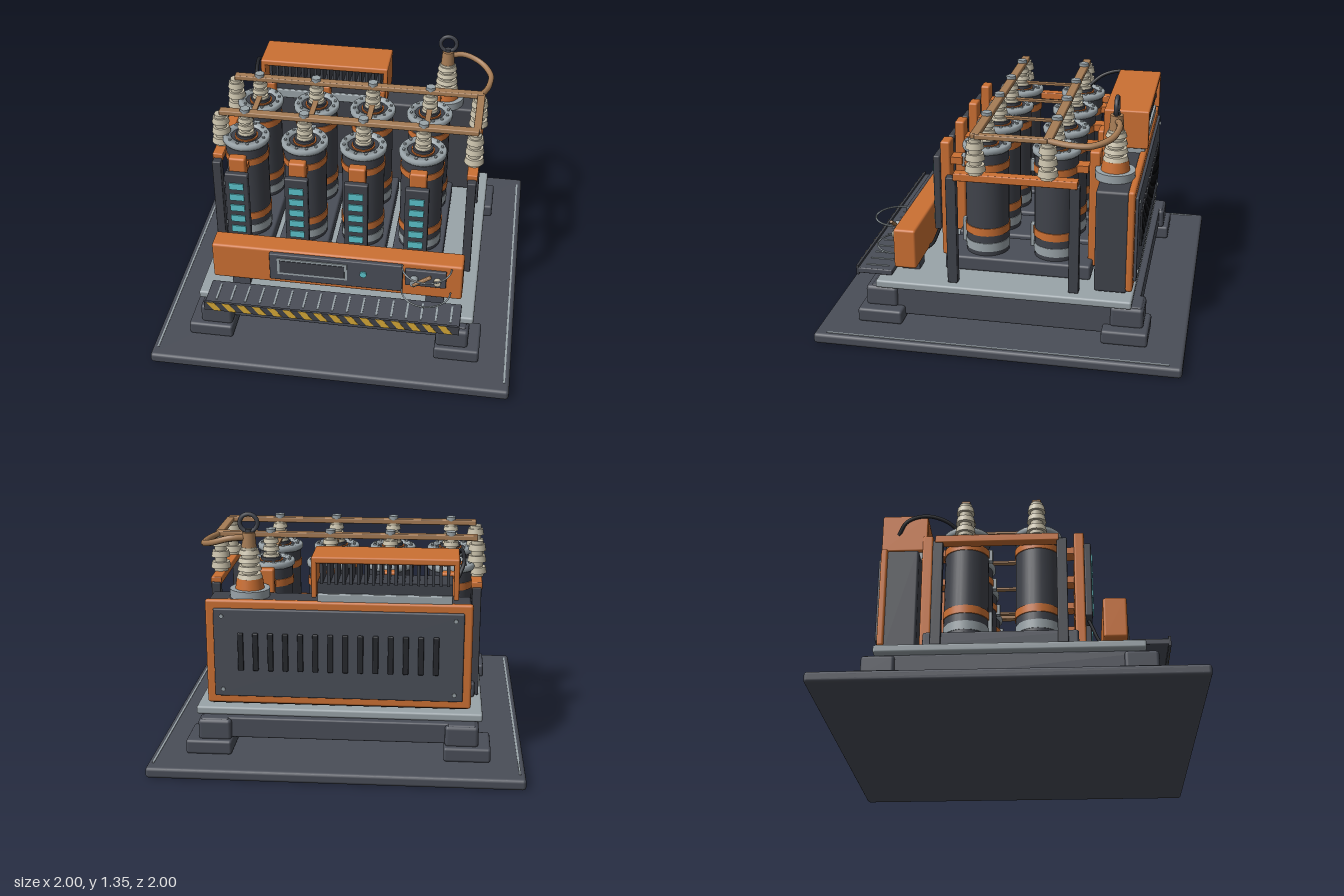
import * as THREE from 'three';
import { RoundedBoxGeometry } from 'three/addons/geometries/RoundedBoxGeometry.js';

const mat = (name, color, opts = {}) => {
  const m = new THREE.MeshStandardMaterial({ color, ...opts });
  m.name = name;
  return m;
};

export function createModel() {
  const root = new THREE.Group();
  root.name = 'capacitorBank';
  const slate = mat('slate', 0x4a4e58);
  const dark = mat('dark graphite', 0x3f424a);
  const black = mat('black rubber', 0x26282d);
  const steel = mat('light steel', 0x9aa4a9);
  const orange = mat('orange paint', 0xcc7033);
  const copper = mat('copper', 0xa67c55);
  const ceramic = mat('ceramic', 0xc8c0aa);
  const cyan = mat('cyan light', 0x5cc4cc);
  const yellow = mat('hazard yellow', 0xd6a836);

  // Helpers: every part is described by its bounds or by a profile
  const add = (name, geo, m, x = 0, y = 0, z = 0, parent = root) => {
    const mesh = new THREE.Mesh(geo, m);
    mesh.name = name;
    mesh.position.set(x, y, z);
    parent.add(mesh);
    return mesh;
  };
  const box = (name, m, x0, x1, y0, y1, z0, z1, r = 0, parent = root) => {
    const s = [x1 - x0, y1 - y0, z1 - z0];
    const geo = r ? new RoundedBoxGeometry(...s, 2, r) : new THREE.BoxGeometry(...s);
    return add(name, geo, m, (x0 + x1) / 2, (y0 + y1) / 2, (z0 + z1) / 2, parent);
  };
  const cyl = (name, m, r, y0, y1, x, z, parent = root, sides = 32, rTop = r) =>
    add(name, new THREE.CylinderGeometry(rTop, r, y1 - y0, sides), m, x, (y0 + y1) / 2, z, parent);
  const knob = (name, m, r, x, y, z0, z1, sides = 20) => {
    const k = add(name, new THREE.CylinderGeometry(r, r, z1 - z0, sides), m, x, y, (z0 + z1) / 2);
    k.rotation.x = Math.PI / 2;
    return k;
  };
  const tube = (name, m, r, pts, n = 32) =>
    add(name, new THREE.TubeGeometry(new THREE.CatmullRomCurve3(pts.map(p => new THREE.Vector3(...p))), n, r, 8), m);
  // Ribbed insulator: core with evenly spaced sheds
  const insulator = (x, z, y0, y1, r, sheds, parent = root) => {
    const g = new THREE.Group();
    g.name = 'insulator';
    parent.add(g);
    cyl('insulatorCore', ceramic, r * 0.6, y0, y1, x, z, g, 24);
    const step = (y1 - y0) / sheds;
    for (let i = 0; i < sheds; i++) {
      const y = y0 + step * i;
      cyl('insulatorShed', ceramic, r * (1 - i * 0.06), y + step * 0.15, y + step * 0.7, x, z, g, 24, r * (0.88 - i * 0.06));
    }
  };

  // Ground plate, edge strips, skid frame, feet and deck
  box('groundPlate', slate, -1, 1, 0, 0.06, -1, 1, 0.018);
  box('frontBeam', slate, -0.73, 0.73, 0.14, 0.255, 0.55, 0.7, 0.01);
  box('rearBeam', slate, -0.73, 0.73, 0.14, 0.255, -0.74, -0.58, 0.01);
  for (const s of [-1, 1]) {
    box('edgeStrip', steel, s * 0.97 - 0.005, s * 0.97 + 0.005, 0.058, 0.063, -0.93, 0.93);
    box('sideRail', slate, s * 0.665 - 0.075, s * 0.665 + 0.075, 0.085, 0.255, -0.76, 0.74, 0.012);
    for (const t of [-1, 1]) {
      box('foot', slate, s * 0.695 - 0.125, s * 0.695 + 0.125, 0.06, 0.14, t * 0.675 - 0.125, t * 0.675 + 0.125, 0.015);
      box('footBlock', slate, s * 0.665 - 0.09, s * 0.665 + 0.09, 0.13, 0.25, t * 0.68 - 0.09, t * 0.68 + 0.09, 0.02);
    }
  }
  box('deck', steel, -0.775, 0.775, 0.255, 0.3, -0.705, 0.705, 0.012);

  // Capacitors, four columns of two
  const columns = [-0.588, -0.252, 0.081, 0.416];
  const rows = [-0.24, 0.147];
  for (const x of columns) {
    box('capacitorPlinth', slate, x - 0.147, x + 0.147, 0.3, 0.385, -0.455, 0.362, 0.014);
    for (const z of rows) {
      const g = new THREE.Group();
      g.name = 'capacitor';
      root.add(g);
      cyl('can', dark, 0.12, 0.38, 1.01, x, z, g);
      cyl('lowerSteelBand', steel, 0.123, 0.41, 0.46, x, z, g);
      cyl('lowerOrangeBand', orange, 0.125, 0.505, 0.55, x, z, g);
      cyl('upperOrangeBand', orange, 0.125, 0.885, 0.925, x, z, g);
      const ring = new THREE.LatheGeometry([[0.088, 0.985], [0.126, 0.985], [0.134, 0.995], [0.134, 1.012], [0.126, 1.022], [0.088, 1.022], [0.088, 0.985]]
        .map(p => new THREE.Vector2(...p)), 32);
      add('rimRing', ring, steel, 0, 0, 0, g).position.set(x, 0, z);
      cyl('terminalCollar', orange, 0.066, 1.005, 1.018, x, z, g);
      cyl('terminalBase', dark, 0.058, 1.01, 1.035, x, z, g);
      insulator(x, z, 1.02, 1.15, 0.05, 3, g);
      cyl('terminalNut', steel, 0.03, 1.17, 1.192, x, z, g, 6);
      // Bolts around the rim and clip on the can
      for (let i = 0; i < 12; i++) {
        const a = i * Math.PI / 6 + 0.26;
        cyl('rimBolt', steel, 0.009, 1.015, 1.03, x + 0.109 * Math.cos(a), z + 0.109 * Math.sin(a), g, 6);
      }
      box('lowerClip', steel, x - 0.018, x + 0.018, 0.42, 0.56, z + 0.115, z + 0.142, 0.005, g);
      box('upperClip', steel, x - 0.018, x + 0.018, 0.87, 0.94, z + 0.115, z + 0.142, 0.005, g);
    }
    box('crossLink', copper, x - 0.016, x + 0.016, 1.04, 1.053, rows[0], rows[1]);

    // Orange clamp columns at both ends, front one with status lights
    box('frontClamp', orange, x - 0.048, x + 0.048, 0.34, 1.02, 0.345, 0.402, 0.012);
    box('rearClamp', orange, x - 0.048, x + 0.048, 0.34, 1.02, -0.485, -0.425, 0.012);
    for (const z of [0.28, -0.42]) box('clampArm', orange, x - 0.04, x + 0.04, 0.89, 0.93, z, z + 0.07);
    box('statusPanel', dark, x - 0.066, x + 0.066, 0.5, 0.94, 0.4, 0.438, 0.008);
    for (let i = 0; i < 5; i++) {
      const y = 0.862 - i * 0.0735;
      box('statusLight', cyan, x - 0.041, x + 0.041, y - 0.021, y + 0.021, 0.436, 0.445);
    }
    tube('statusCable', black, 0.009, [[x, 0.52, 0.41], [x, 0.46, 0.435], [x, 0.38, 0.47], [x, 0.35, 0.5]], 16);
  }

  // Bus bars on side posts and rails
  for (const z of rows) box('busBar', copper, -0.735, 0.72, 1.145, 1.175, z - 0.024, z + 0.024, 0.006);
  box('sideBusBar', copper, 0.686, 0.73, 1.145, 1.172, rows[0], rows[1], 0.006);
  for (const x of [-0.732, 0.702]) {
    for (const z of [-0.385, 0.28]) box('post', dark, x - 0.025, x + 0.025, 0.3, 0.92, z - 0.028, z + 0.028, 0.006);
    box('sideRailBar', orange, x - 0.03, x + 0.03, 0.905, 0.948, -0.4, 0.265, 0.006);
    for (const z of rows) {
      cyl('insulatorFoot', ceramic, 0.04, 0.945, 0.97, x, z);
      insulator(x, z, 0.955, 1.145, 0.056, 3);
    }
  }

  // Rear cabinet with orange frame and louvred panel
  box('cabinet', dark, -0.7, 0.7, 0.31, 0.895, -0.67, -0.492, 0.015);
  box('cabinetFrame', orange, -0.71, 0.71, 0.325, 0.905, -0.7, -0.662, 0.014);
  box('cabinetPanel', slate, -0.665, 0.665, 0.37, 0.86, -0.716, -0.69, 0.008);
  for (let i = 0; i < 14; i++) {
    const x = -0.52 + i * 0.08;
    box('louvre', black, x - 0.015, x + 0.015, 0.52, 0.73, -0.728, -0.71, 0.006);
  }
  for (const x of [-0.62, 0.62]) for (const y of [0.41, 0.82]) knob('panelBolt', steel, 0.012, x, y, -0.723, -0.71, 8);

  // Cooling hood over the cabinet, open front and back with a row of fins
  box('hoodTop', orange, -0.632, 0.14, 1.115, 1.152, -0.71, -0.458, 0.01);
  for (const x of [-0.632, 0.112]) box('hoodEnd', orange, x, x + 0.028, 0.93, 1.15, -0.71, -0.458, 0.008);
  box('hoodTray', steel, -0.6, 0.11, 0.89, 0.945, -0.69, -0.475, 0.006);
  box('finBar', dark, -0.6, 0.11, 0.945, 1.005, -0.67, -0.49);
  for (let i = 0; i < 18; i++) {
    const x = -0.575 + i * 0.039;
    box('coolingFin', dark, x - 0.008, x + 0.008, 1, 1.118, -0.69, -0.478);
  }
  tube('hoodCable', black, 0.011, [[-0.625, 1.03, -0.62], [-0.655, 1.1, -0.57], [-0.65, 1.135, -0.47], [-0.635, 1.11, -0.36], [-0.61, 1.04, -0.27]]);

  // Output bushing with ring and curved copper lead
  const bx = 0.486, bz = -0.568;
  cyl('bushingFlange', steel, 0.108, 0.893, 0.94, bx, bz);
  cyl('bushingCollar', orange, 0.078, 0.94, 0.998, bx, bz, root, 32, 0.07);
  insulator(bx, bz, 0.99, 1.165, 0.07, 4);
  cyl('bushingCap', copper, 0.04, 1.16, 1.245, bx, bz, root, 24, 0.034);
  cyl('ringStem', dark, 0.018, 1.24, 1.262, bx, bz, root, 16);
  add('coronaRing', new THREE.TorusGeometry(0.047, 0.012, 10, 32), dark, bx, 1.295, bz);
  tube('copperLead', copper, 0.017, [[bx, 1.215, bz], [0.58, 1.215, -0.595], [0.68, 1.185, -0.57], [0.745, 1.16, -0.48], [0.745, 1.155, -0.36], [0.707, 1.158, -0.24]], 48);

  // Control console
  box('console', orange, -0.705, 0.7, 0.35, 0.58, 0.49, 0.617, 0.014);
  for (const x of [-0.55, 0.55]) box('consoleBracket', slate, x - 0.05, x + 0.05, 0.295, 0.36, 0.5, 0.6);
  box('consolePanel', slate, -0.375, 0.37, 0.39, 0.568, 0.61, 0.64, 0.006);
  box('screenFrame', steel, -0.33, 0.062, 0.436, 0.546, 0.635, 0.645);
  box('screen', dark, -0.316, 0.048, 0.45, 0.532, 0.64, 0.648);
  knob('indicator', cyan, 0.019, 0.153, 0.49, 0.635, 0.65);
  box('switchPanel', slate, 0.383, 0.61, 0.435, 0.545, 0.61, 0.635, 0.006);
  knob('switchKnob', ceramic, 0.02, 0.563, 0.487, 0.63, 0.66);
  knob('leverPivot', steel, 0.022, 0.435, 0.487, 0.63, 0.68);
  const lever = box('lever', copper, 0.42, 0.54, 0.503, 0.521, 0.668, 0.688, 0.005);
  lever.rotation.z = 0.6;
  for (const y of [0.405, 0.572]) {
    const guard = add('guardLoop', new THREE.TorusGeometry(0.135, 0.005, 6, 32, Math.PI), steel, 0.502, y, 0.63);
    guard.rotation.x = Math.PI / 2;
  }

  // Front step with ribs and hazard stripes
  box('step', slate, -0.71, 0.705, 0.3, 0.332, 0.63, 0.83, 0.006);
  for (let i = 0; i < 17; i++) {
    const x = -0.65 + i * 0.0815;
    box('stepRib', steel, x - 0.005, x + 0.005, 0.33, 0.336, 0.66, 0.79);
  }
  box('stepLip', dark, -0.71, 0.705, 0.29, 0.346, 0.822, 0.836);
  for (let i = 0; i < 16; i++) {
    const x = -0.655 + i * 0.0855;
    const stripe = new THREE.Shape([[x, 0.291], [x + 0.043, 0.291], [x + 0.003, 0.345], [x - 0.04, 0.345]]
      .map(p => new THREE.Vector2(...p)));
    add('hazardStripe', new THREE.ExtrudeGeometry(stripe, { depth: 0.004, bevelEnabled: false }), yellow, 0, 0, 0.834);
  }
  return root;
}
